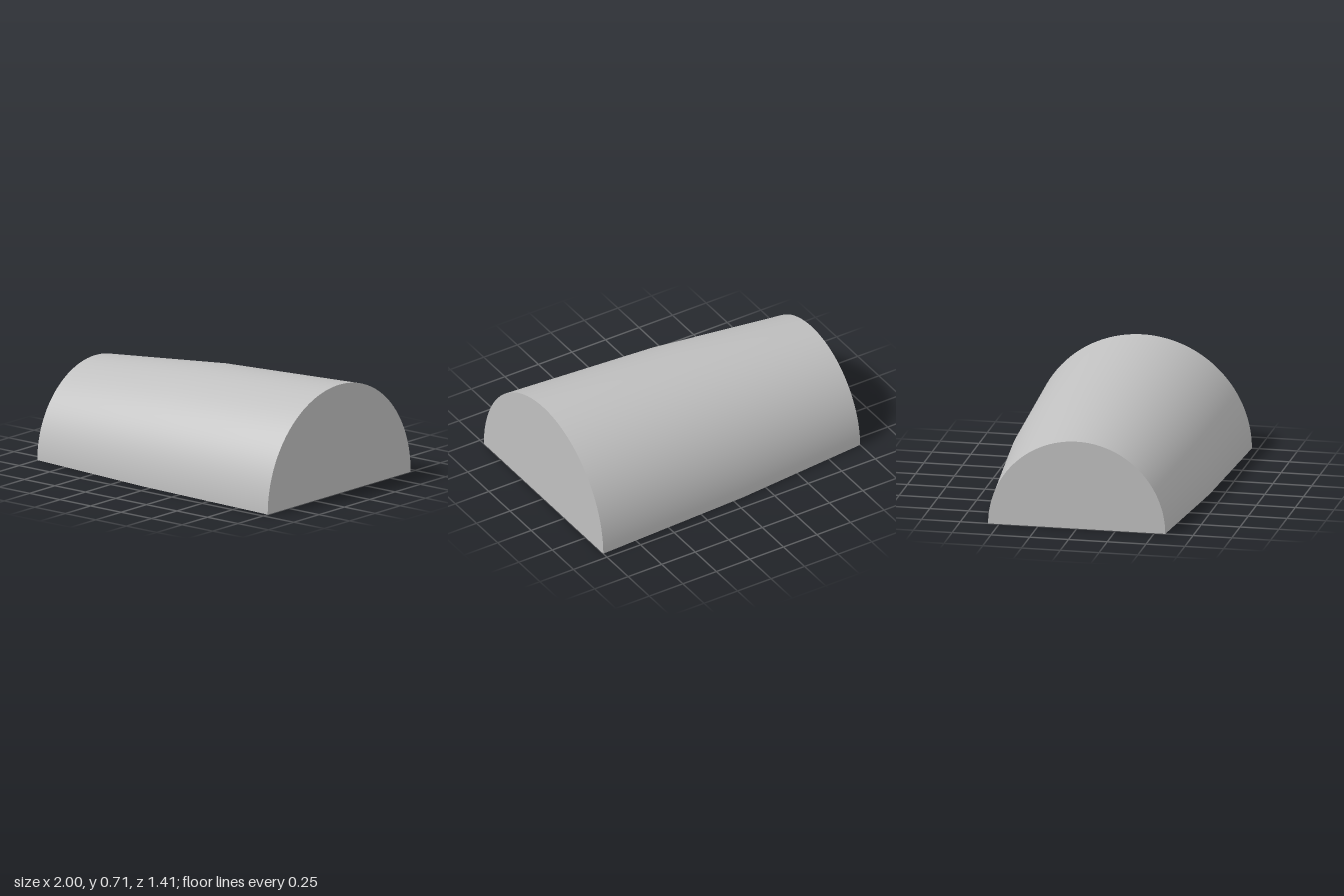
import * as THREE from 'three';

export function createModel() {
  const model = new THREE.Group();
  const grey = new THREE.MeshStandardMaterial({ color: 0xc0c0c0 });
  grey.name = 'light grey';

  const add = (name, geometry, parent = model) => {
    const mesh = new THREE.Mesh(geometry, grey);
    mesh.name = name;
    parent.add(mesh);
    return mesh;
  };

  // Radius along the length: [x, radius]
  const profile = [[-1, 0.571], [-0.07, 0.659], [1, 0.706]];
  const rSmall = profile[0][1];
  const rLarge = profile[2][1];

  // Tapered half-round shell, turned about the x axis
  const points = profile.map(([x, r]) => new THREE.Vector2(r, x));
  add('taperedShell', new THREE.LatheGeometry(points, 72, Math.PI, Math.PI).rotateZ(-Math.PI / 2));

  // Half-disc ends
  const halfDisc = (r) => new THREE.CircleGeometry(r, 72, 0, Math.PI);
  add('largeEnd', halfDisc(rLarge).rotateY(Math.PI / 2).translate(1, 0, 0));
  add('smallEnd', halfDisc(rSmall).rotateY(-Math.PI / 2).translate(-1, 0, 0));

  // Flat underside with a rectangular slot
  const length = 0.69, width = 0.285, depth = 0.3;
  const outline = [
    ...profile.map(([x, r]) => new THREE.Vector2(x, -r)),
    ...profile.map(([x, r]) => new THREE.Vector2(x, r)).reverse(),
  ];
  const base = new THREE.Shape(outline);
  base.holes.push(new THREE.Path([
    new THREE.Vector2(-length / 2, -width / 2),
    new THREE.Vector2(-length / 2, width / 2),
    new THREE.Vector2(length / 2, width / 2),
    new THREE.Vector2(length / 2, -width / 2),
  ]));
  add('underside', new THREE.ShapeGeometry(base).rotateX(Math.PI / 2));

  // Slot walls and roof, facing inwards
  const slot = new THREE.Group();
  slot.name = 'slot';
  model.add(slot);
  for (const s of [1, -1]) {
    const turn = s > 0 ? Math.PI : 0;
    add('slotSideWall', new THREE.PlaneGeometry(length, depth)
      .rotateY(turn).translate(0, depth / 2, s * width / 2), slot);
    add('slotEndWall', new THREE.PlaneGeometry(width, depth)
      .rotateY(-s * Math.PI / 2).translate(s * length / 2, depth / 2, 0), slot);
  }
  add('slotRoof', new THREE.PlaneGeometry(length, width)
    .rotateX(Math.PI / 2).translate(0, depth, 0), slot);

  return model;
}
